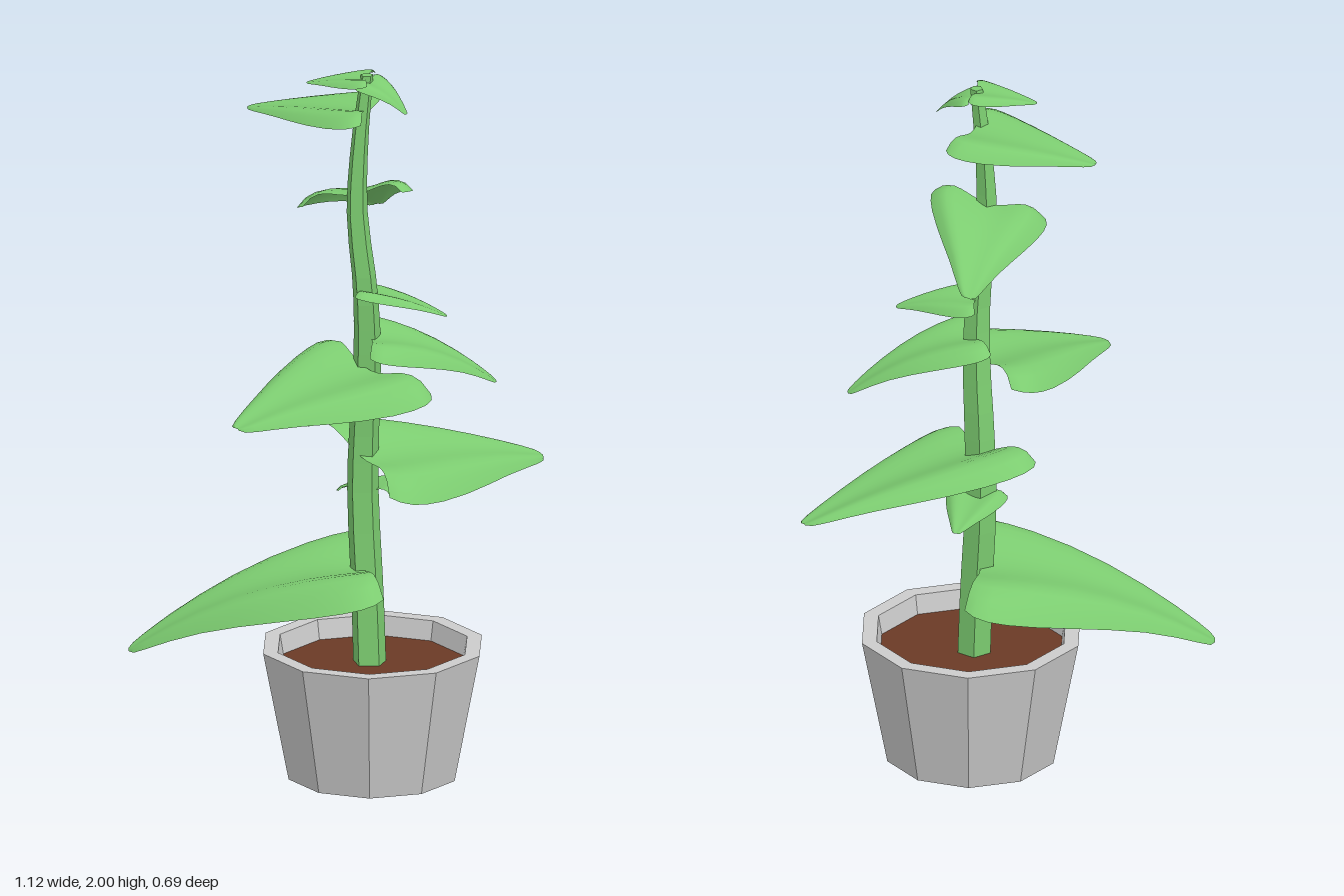
import * as THREE from 'three';

const potX = 0.105;
const green = new THREE.MeshStandardMaterial({ color: 0x7ccc70, side: THREE.DoubleSide });
const stemGreen = new THREE.MeshStandardMaterial({ color: 0x7ccc70, flatShading: true });
const grey = new THREE.MeshStandardMaterial({ color: 0xcccccc, flatShading: true });
const brown = new THREE.MeshStandardMaterial({ color: 0x6b3a26 });

function addMesh(parent, name, geometry, material) {
  const mesh = new THREE.Mesh(geometry, material);
  mesh.name = name;
  parent.add(mesh);
  return mesh;
}

// Leaf outline: [position along the leaf, half width], both as fractions
const outline = [
  [0, 0.86], [0.03, 0.96], [0.08, 1], [0.15, 0.98], [0.25, 0.91], [0.4, 0.77],
  [0.55, 0.61], [0.7, 0.44], [0.83, 0.3], [0.93, 0.19], [0.98, 0.12], [1, 0.04],
];

// Arched heart-shaped leaf from base to tip; roll lifts one lobe and lowers the other
function leafGeometry([base, tip, halfWidth, roll]) {
  const across = 14;
  const dx = tip[0] - base[0], dz = tip[2] - base[2], length = Math.hypot(dx, dz);
  const ux = dx / length, uz = dz / length;
  const positions = [], index = [];
  outline.forEach(([t, w], i) => {
    for (let j = 0; j <= across; j++) {
      const s = (j / across) * 2 - 1;
      const side = s * w * halfWidth;
      const along = t * length - 0.16 * halfWidth * s * s * (1 - t) ** 3;
      // a hump on each side of the midrib, with the edges drooping towards the tip
      const hump = 0.64 * (s ** 2 - s ** 4);
      const droop = s ** 2 * (0.04 + 0.2 * (1 - (1 - t) ** 3));
      positions.push(
        base[0] + ux * along - uz * side,
        base[1] + (tip[1] - base[1]) * t ** 2 + (hump - droop) * halfWidth * w + roll * s * w,
        base[2] + uz * along + ux * side
      );
      if (i < outline.length - 1 && j < across) {
        const a = i * (across + 1) + j, b = a + across + 1;
        index.push(a, a + 1, b, a + 1, b + 1, b);
      }
    }
  });
  const geometry = new THREE.BufferGeometry();
  geometry.setAttribute('position', new THREE.Float32BufferAttribute(positions, 3));
  geometry.setIndex(index);
  geometry.computeVertexNormals();
  return geometry;
}

// Five-sided stem swept along a gently bent, tapering line
function stemGeometry() {
  const line = new THREE.CatmullRomCurve3([
    [0.097, 0.28, -0.015], [0.09, 0.5, -0.02], [0.077, 0.8, -0.03], [0.082, 1.0, -0.025],
    [0.09, 1.2, -0.008], [0.085, 1.38, 0.006], [0.063, 1.6, 0.006], [0.07, 1.8, 0.004],
    [0.09, 1.995, 0.004],
  ].map((p) => new THREE.Vector3(...p)));
  const geometry = new THREE.CylinderGeometry(1, 1, 1, 5, 20, false, Math.PI / 5);
  const pos = geometry.attributes.position;
  for (let i = 0; i < pos.count; i++) {
    const t = THREE.MathUtils.clamp(pos.getY(i) + 0.5, 0, 1);
    const p = line.getPoint(t);
    const r = 0.047 - 0.029 * t ** 1.9;
    pos.setXYZ(i, p.x + pos.getX(i) * r, p.y, p.z + pos.getZ(i) * r);
  }
  geometry.computeVertexNormals();
  return geometry;
}

export function createModel() {
  const group = new THREE.Group();
  group.name = 'pottedPlant';

  // Ten-sided pot with a thick rim
  const profile = [[0, 0], [0.238, 0], [0.31, 0.365], [0.268, 0.365], [0.255, 0.29]];
  const pot = addMesh(group, 'pot',
    new THREE.LatheGeometry(profile.map((p) => new THREE.Vector2(...p)), 10), grey);
  pot.position.x = potX;

  const soil = addMesh(group, 'soil', new THREE.CylinderGeometry(0.26, 0.255, 0.02, 10), brown);
  soil.position.set(potX, 0.3, 0);

  addMesh(group, 'stem', stemGeometry(), stemGreen);

  // Leaves from the bottom up: base, tip, half width, roll
  const leaves = [
    [[0.08, 0.575, -0.035], [-0.56, 0.345, 0.0], 0.305, 0],
    [[0.085, 0.795, -0.03], [0.14, 0.77, -0.245], 0.085, 0],
    [[0.075, 0.905, 0.015], [0.555, 0.82, -0.3], 0.248, -0.05],
    [[0.1, 1.16, 0.035], [-0.255, 1.085, 0.335], 0.252, 0.015],
    [[0.1, 1.245, 0.01], [0.44, 1.105, -0.06], 0.16, -0.012],
    [[0.09, 1.37, -0.01], [0.31, 1.32, 0.04], 0.09, 0.012],
    [[0.055, 1.65, 0.0], [0.105, 1.52, -0.33], 0.16, 0.033],
    [[0.1, 1.885, -0.035], [-0.24, 1.85, -0.16], 0.155, 0],
    [[0.09, 1.985, 0.005], [-0.075, 1.965, -0.02], 0.075, 0],
    [[0.095, 1.975, 0.005], [0.2, 1.9, 0.055], 0.07, 0],
  ];
  const foliage = new THREE.Group();
  foliage.name = 'leaves';
  leaves.forEach((leaf, i) => addMesh(foliage, `leaf${i + 1}`, leafGeometry(leaf), green));
  group.add(foliage);

  return group;
}
